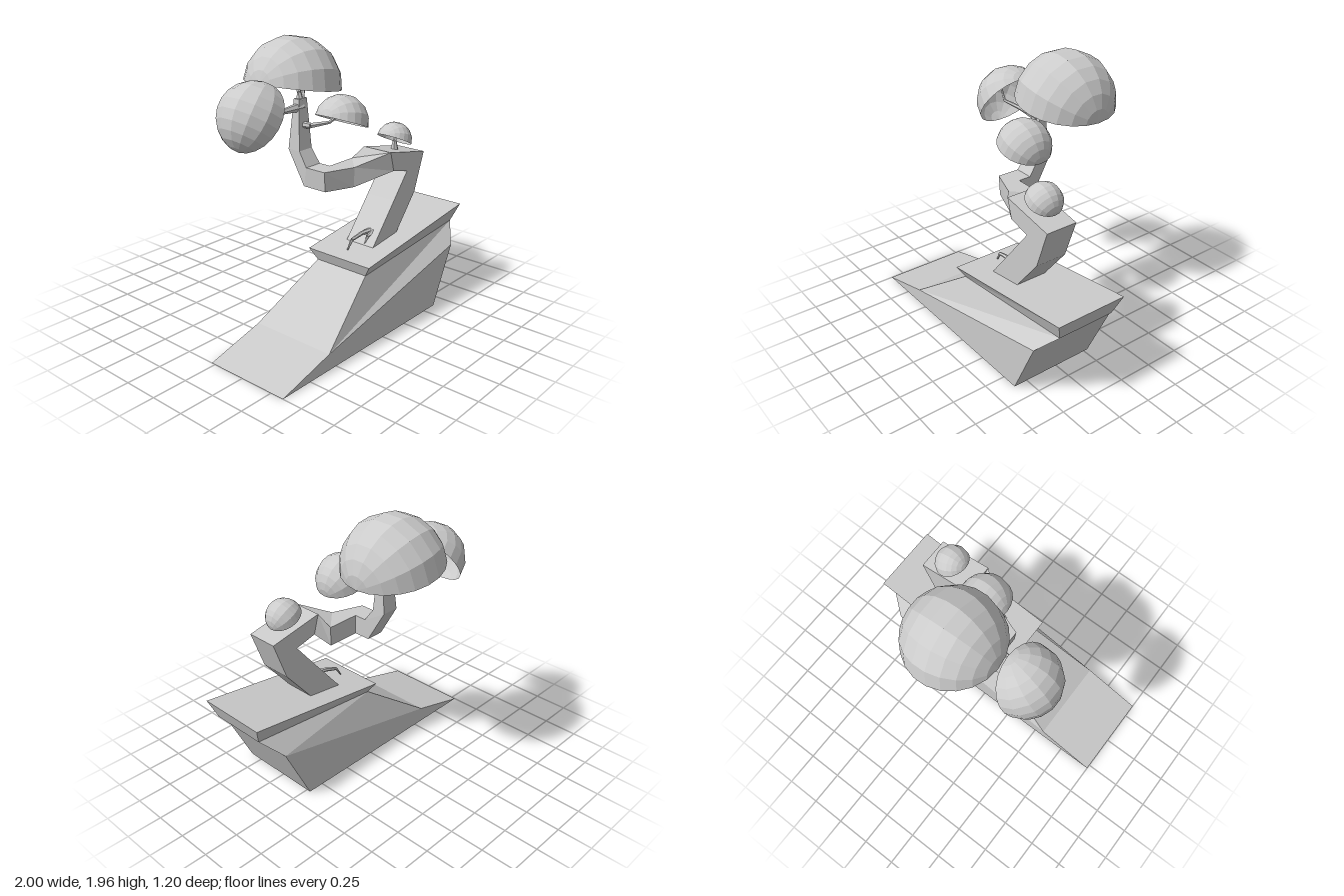
import * as THREE from 'three';

const grey = () => new THREE.MeshStandardMaterial({ color: 0xcccccc, flatShading: true, side: THREE.DoubleSide });

function addMesh(parent, geometry, name) {
  const mesh = new THREE.Mesh(geometry, grey());
  mesh.name = name;
  parent.add(mesh);
  return mesh;
}

// Skin a list of four-cornered rings, closed at both ends
function loft(rings) {
  const pos = [];
  const tri = (...pts) => pts.forEach((p) => pos.push(...p));
  const cap = ([a, b, c, d]) => { tri(a, b, c); tri(a, c, d); };
  cap([...rings[0]].reverse());
  for (let i = 0; i < rings.length - 1; i++) {
    for (let j = 0; j < 4; j++) {
      const k = (j + 1) % 4;
      cap([rings[i][j], rings[i][k], rings[i + 1][k], rings[i + 1][j]]);
    }
  }
  cap(rings[rings.length - 1]);
  const g = new THREE.BufferGeometry();
  g.setAttribute('position', new THREE.Float32BufferAttribute(pos, 3));
  g.computeVertexNormals();
  return g;
}

// Ring whose left edge and right edge run straight from front to back
const slab = (x0, y0, x1, y1, front, back) =>
  [[x0, y0, front], [x1, y1, front], [x1, y1, back], [x0, y0, back]];

// Chain of tapering round pieces through points of [x, y, z, radius]
function branch(parent, name, points) {
  const group = new THREE.Group();
  group.name = name;
  for (let i = 0; i < points.length - 1; i++) {
    const a = new THREE.Vector3(...points[i]);
    const b = new THREE.Vector3(...points[i + 1]);
    const dir = b.clone().sub(a);
    const m = addMesh(group, new THREE.CylinderGeometry(points[i + 1][3], points[i][3], dir.length(), 6), name + 'Piece');
    m.position.copy(a).add(b).multiplyScalar(0.5);
    m.quaternion.setFromUnitVectors(new THREE.Vector3(0, 1, 0), dir.normalize());
  }
  parent.add(group);
}

// Hollow half-sphere of foliage, tilted sideways
function canopy(parent, name, x, y, z, radius, tilt) {
  const g = new THREE.SphereGeometry(radius, 7, 11, 0, Math.PI);
  g.rotateX(-Math.PI / 2);
  g.rotateY(Math.PI / 2);
  const m = addMesh(parent, g, name);
  m.position.set(x, y, z);
  m.rotation.z = tilt;
}

export function createModel() {
  const model = new THREE.Group();
  model.name = 'bonsaiTree';

  // Wedge-shaped stand with a narrow neck and a sloping tray
  addMesh(model, loft([
    slab(-1, 0, 0.62, 0, 0.6, -0.03),
    slab(-0.57, 0.115, 0.82, 0.42, 0.6, -0.03),
    slab(-0.08, 0.455, 0.95, 0.55, 0.5, 0.08),
  ]), 'stand');
  addMesh(model, loft([
    slab(-0.08, 0.455, 0.95, 0.55, 0.5, 0.08),
    slab(-0.11, 0.535, 1, 0.68, 0.55, 0.025),
  ]), 'tray');

  // Square trunk: leans right, doubles back left, then turns back and up
  addMesh(model, loft([
    slab(0.11, 0.55, 0.37, 0.57, 0.405, 0.175),
    slab(0.355, 0.85, 0.6, 0.85, 0.405, 0.175),
    slab(0.5, 1.03, 0.7, 1.13, 0.405, 0.175),
    slab(0.34, 1.07, 0.3, 1.21, 0.405, 0.175),
    [[0.1, 0.98, 0.25], [0.1, 1.12, 0.25], [0.26, 1.12, 0.1], [0.26, 0.98, 0.1]],
    [[-0.11, 0.98, 0.17], [-0.12, 1.12, 0.17], [0.02, 1.12, 0.1], [0.02, 0.98, 0.1]],
    [[-0.11, 0.98, -0.02], [-0.12, 1.12, 0.01], [0.02, 1.12, 0.01], [0.02, 0.98, -0.02]],
    [[-0.11, 1.22, -0.16], [-0.11, 1.22, -0.06], [0.015, 1.22, -0.06], [0.015, 1.22, -0.16]],
    [[-0.08, 1.57, -0.135], [-0.08, 1.57, -0.09], [0, 1.57, -0.09], [0, 1.57, -0.135]],
  ]), 'trunk');

  // Roots clawing over the tray
  branch(model, 'longRoot', [[0.22, 0.65, 0.32, 0.02], [0.13, 0.645, 0.3, 0.015], [0.04, 0.62, 0.285, 0.011], [0, 0.555, 0.28, 0.005]]);
  branch(model, 'shortRoot', [[0.21, 0.65, 0.34, 0.02], [0.16, 0.62, 0.33, 0.012], [0.13, 0.575, 0.325, 0.005]]);

  // Branches
  branch(model, 'leftBranch', [[-0.03, 1.51, -0.11, 0.035], [-0.25, 1.505, -0.115, 0.015], [-0.44, 1.5, -0.12, 0.01], [-0.53, 1.55, -0.16, 0.007]]);
  branch(model, 'frontBranch', [[-0.05, 1.39, -0.11, 0.025], [-0.03, 1.39, -0.03, 0.02], [0.06, 1.41, 0.06, 0.012], [0.11, 1.47, 0.12, 0.008]]);
  branch(model, 'topBranch', [[-0.045, 1.55, -0.11, 0.025], [-0.045, 1.61, -0.12, 0.015], [-0.02, 1.68, -0.16, 0.008]]);
  branch(model, 'topRightBranch', [[-0.03, 1.56, -0.11, 0.022], [0.03, 1.62, -0.15, 0.013], [0.12, 1.64, -0.24, 0.008]]);
  branch(model, 'shootStem', [[0.5, 1.16, 0.29, 0.03], [0.5, 1.23, 0.29, 0.015], [0.53, 1.3, 0.28, 0.01]]);

  // Foliage
  canopy(model, 'topCanopy', 0.05, 1.625, -0.265, 0.343, -0.165);
  canopy(model, 'leftCanopy', -0.43, 1.495, -0.17, 0.246, 0.95);
  canopy(model, 'frontCanopy', 0.11, 1.42, 0.127, 0.185, -0.37);
  canopy(model, 'shootCanopy', 0.51, 1.235, 0.28, 0.125, -0.46);

  return model;
}
